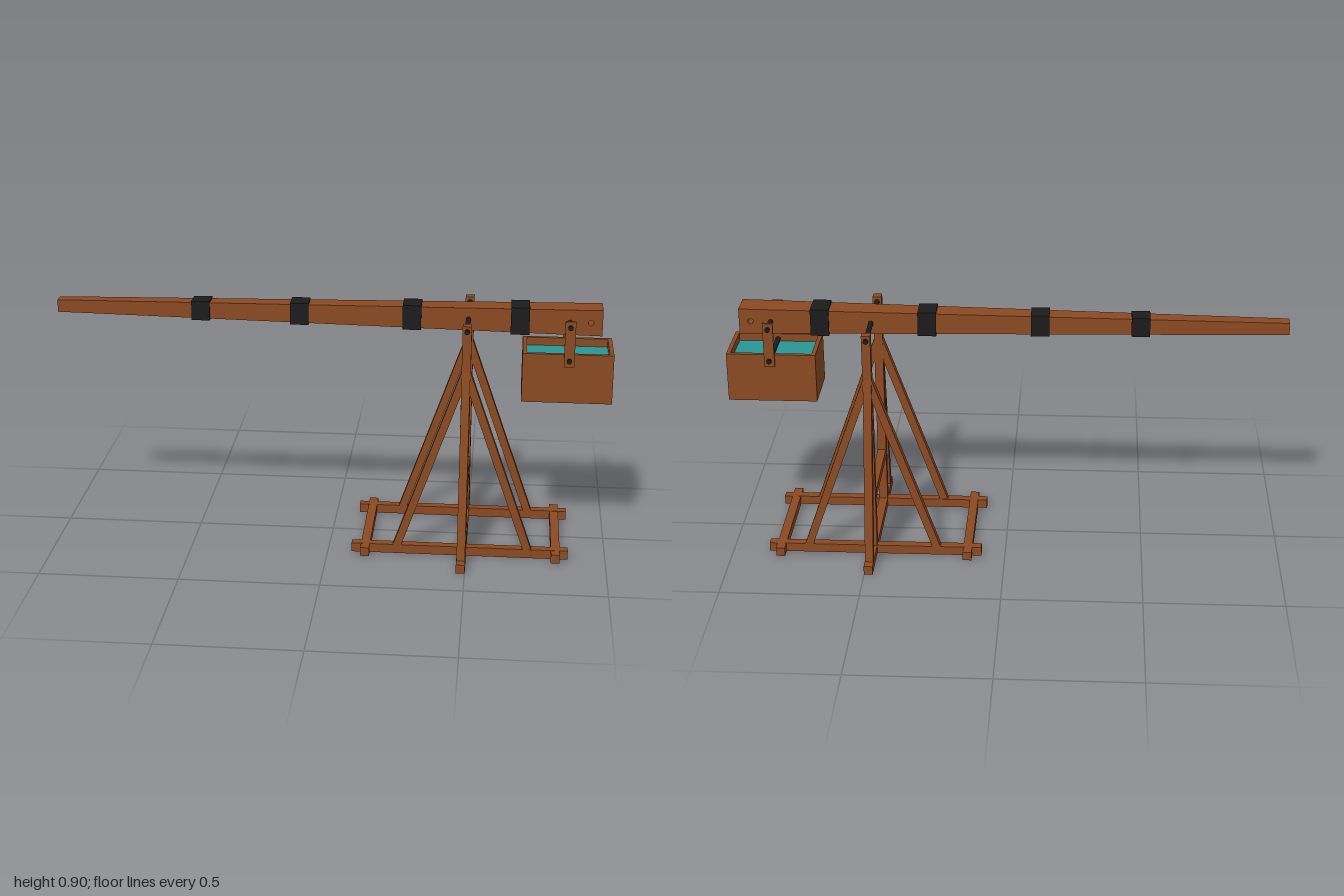
import * as THREE from 'three';

const wood = new THREE.MeshStandardMaterial({ color: 0x8b4a22, flatShading: true });
const iron = new THREE.MeshStandardMaterial({ color: 0x1c1c1c });
const fillMat = new THREE.MeshStandardMaterial({ color: 0x2a9696 });

const T = 0.032;      // timber thickness
const MID = 0.0035;   // z of the frame's centre plane
const SIDE = 0.183;   // distance of the side frames from it
const PIVOT = 0.485;  // x of the posts and axle

export function createModel() {
  const root = new THREE.Group();

  function add(parent, name, geometry, material, x = 0, y = 0, z = 0) {
    const mesh = new THREE.Mesh(geometry, material);
    mesh.name = name;
    mesh.position.set(x, y, z);
    parent.add(mesh);
    return mesh;
  }

  // Box given by its limits on each axis
  function block(parent, name, [x0, x1], [y0, y1], [z0, z1], material = wood) {
    return add(parent, name, new THREE.BoxGeometry(x1 - x0, y1 - y0, z1 - z0), material,
      (x0 + x1) / 2, (y0 + y1) / 2, (z0 + z1) / 2);
  }

  // Leaning timber with level ends: a box sheared from point a up to point b
  function strut(parent, name, a, b, w, d) {
    const g = new THREE.BoxGeometry(w, b[1] - a[1], d);
    const p = g.attributes.position;
    for (let i = 0; i < p.count; i++) {
      const end = p.getY(i) > 0 ? b : a;
      p.setXYZ(i, p.getX(i) + end[0], end[1], p.getZ(i) + end[2]);
    }
    g.computeVertexNormals();
    return add(parent, name, g, wood);
  }

  // Round bar along z
  function bar(parent, name, x, y, z0, z1, r) {
    const g = new THREE.CylinderGeometry(r, r, z1 - z0, 16).rotateX(Math.PI / 2);
    return add(parent, name, g, iron, x, y, (z0 + z1) / 2);
  }

  // Base: two long rails and three cross beams
  const base = new THREE.Group();
  base.name = 'base';
  root.add(base);
  for (const x of [0.136, 0.821])
    block(base, 'crossBeam', [x - T / 2, x + T / 2], [0, T], [MID - 0.236, MID + 0.236]);
  block(base, 'middleBeam', [PIVOT - T / 2, PIVOT + T / 2], [0, T], [MID - 0.354, MID + 0.354]);

  // Side frames: rail, post, two fore-and-aft braces and an outer brace
  for (const s of [-1, 1]) {
    const z = MID + s * SIDE;
    const frame = new THREE.Group();
    frame.name = s > 0 ? 'frontFrame' : 'backFrame';
    root.add(frame);
    block(frame, 'rail', [0.086, 0.866], [0, T + 0.001], [z - T / 2, z + T / 2]);
    block(frame, 'post', [PIVOT - T / 2, PIVOT + T / 2], [0.01, 0.866], [z - T / 2, z + T / 2]);
    for (const e of [-1, 1])
      strut(frame, 'sideBrace', [PIVOT + e * 0.24, 0.015, z], [PIVOT, 0.7, z], 0.03, T - 0.002);
    strut(frame, 'outerBrace', [PIVOT, 0.015, MID + s * 0.306], [PIVOT, 0.7, z], T - 0.002, T);
  }
  block(root, 'tieBeam', [PIVOT - 0.015, PIVOT + 0.015], [0.21, 0.242], [MID - SIDE, MID + SIDE]);
  bar(root, 'axle', PIVOT, 0.847, MID - 0.207, MID + 0.207, 0.009);

  // Throwing arm: tapers in height and depth, with a cross hole at the thick end
  const arm = new THREE.Group();
  arm.name = 'throwingArm';
  root.add(arm);
  const X0 = -1, X1 = 0.957, ARM_Y = 0.847;
  const half = x => THREE.MathUtils.mapLinear(x, X0, X1, 0.0225, 0.047);
  const armZ = x => THREE.MathUtils.mapLinear(x, X0, X1, 0.005, 0.0115);
  const outline = new THREE.Shape([
    new THREE.Vector2(X0, -half(X0)), new THREE.Vector2(X1, -half(X1)),
    new THREE.Vector2(X1, half(X1)), new THREE.Vector2(X0, half(X0)),
  ]);
  outline.holes.push(new THREE.Path().absarc(0.916, 0, 0.01, 0, Math.PI * 2, true));
  const beam = new THREE.ExtrudeGeometry(outline, { depth: 2, bevelEnabled: false, curveSegments: 8 });
  const p = beam.attributes.position;
  for (let i = 0; i < p.count; i++) {
    const x = p.getX(i);
    p.setZ(i, (p.getZ(i) - 1) * half(x) + armZ(x));
  }
  beam.computeVertexNormals();
  add(arm, 'armBeam', beam, wood, 0, ARM_Y);

  // Iron bands around the arm
  for (const x of [-0.475, -0.118, 0.285, 0.668]) {
    const h = half(x) + 0.006;
    block(arm, 'band', [x - 0.033, x + 0.033], [ARM_Y - h, ARM_Y + h], [armZ(x) - h, armZ(x) + h], iron);
  }

  // Counterweight: open box with filling, hung on two pins by a pair of straps
  const weight = new THREE.Group();
  weight.name = 'counterweight';
  root.add(weight);
  const [bx0, bx1, by0, by1, bz0, bz1, wall] = [0.68, 1.0, 0.565, 0.745, -0.096, 0.11, 0.015];
  block(weight, 'boxFloor', [bx0 + wall, bx1 - wall], [by0, by0 + wall], [bz0 + wall, bz1 - wall]);
  block(weight, 'boxSide', [bx0, bx1], [by0, by1], [bz0, bz0 + wall]);
  block(weight, 'boxSide', [bx0, bx1], [by0, by1], [bz1 - wall, bz1]);
  block(weight, 'boxEnd', [bx0, bx0 + wall], [by0, by1], [bz0 + wall, bz1 - wall]);
  block(weight, 'boxEnd', [bx1 - wall, bx1], [by0, by1], [bz0 + wall, bz1 - wall]);
  block(weight, 'filling', [bx0 + wall, bx1 - wall], [by0 + wall, 0.716], [bz0 + wall, bz1 - wall], fillMat);
  for (const z of [-0.102, 0.1175])
    block(weight, 'strap', [0.825, 0.862], [0.702, 0.869], [z - 0.0045, z + 0.0045]);
  for (const y of [ARM_Y, 0.725])
    bar(weight, 'pin', 0.8435, y, -0.116, 0.13, 0.009);

  return root;
}
